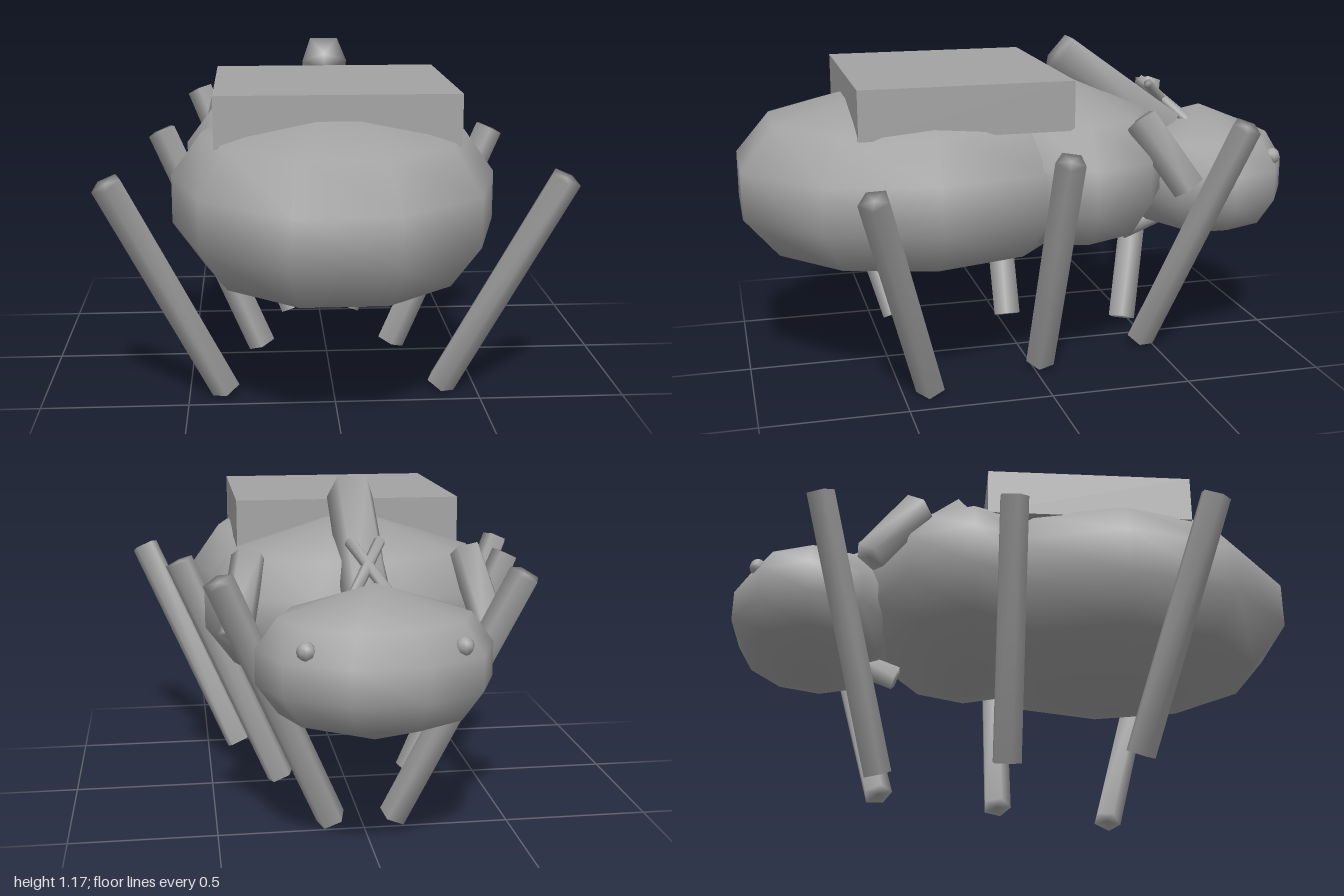
import * as THREE from 'three';
import { mergeVertices } from 'three/addons/utils/BufferGeometryUtils.js';

const grey = new THREE.MeshStandardMaterial({ color: 0xa3a3a3 });
grey.name = 'plain grey';

// Weld all corners so the shading runs smoothly over every edge
function smooth(geometry) {
  geometry.deleteAttribute('normal');
  geometry.deleteAttribute('uv');
  const welded = mergeVertices(geometry, 1e-4);
  welded.computeVertexNormals();
  return welded;
}

function add(group, name, geometry) {
  const mesh = new THREE.Mesh(geometry, grey);
  mesh.name = name;
  group.add(mesh);
  return mesh;
}

// Ten-sided body segment with shallow cone caps
function bodySegment(group, name, centre, radii) {
  const profile = [[0, -1], [0.81, -0.61], [1, -0.22], [1, 0.22], [0.81, 0.61], [0, 1]]
    .map(([r, y]) => new THREE.Vector2(r, y));
  const geometry = new THREE.LatheGeometry(profile, 10);
  geometry.rotateY(Math.PI / 2);
  geometry.scale(...radii);
  add(group, name, smooth(geometry)).position.set(...centre);
}

// Five-sided rod between two points
function rod(group, name, from, to, radius) {
  const a = new THREE.Vector3(...from);
  const b = new THREE.Vector3(...to);
  const axis = b.clone().sub(a);
  const geometry = smooth(new THREE.CylinderGeometry(radius, radius, axis.length(), 5));
  const mesh = add(group, name, geometry);
  mesh.position.copy(a).add(b).multiplyScalar(0.5);
  mesh.quaternion.setFromUnitVectors(new THREE.Vector3(0, 1, 0), axis.normalize());
}

export function createModel() {
  const model = new THREE.Group();
  model.name = 'insect';

  // Body
  bodySegment(model, 'abdomen', [0, 0.69, 0.38], [0.545, 0.373, 0.652]);
  bodySegment(model, 'thorax', [0, 0.71, -0.15], [0.515, 0.335, 0.378]);
  bodySegment(model, 'head', [0, 0.64, -0.71], [0.38, 0.255, 0.305]);

  // Slab carried on the back
  add(model, 'backPlate', new THREE.BoxGeometry(0.79, 0.17, 0.73)).position.set(0, 0.99, 0.265);

  // Horn over the neck and mouthpart under the head
  rod(model, 'horn', [0, 0.81, -0.57], [0, 1.11, -0.155], 0.085);
  rod(model, 'mouthpart', [0, 0.53, -0.68], [0, 0.425, -0.41], 0.045);

  for (const [side, s] of [['left', 1], ['right', -1]]) {
    // Legs
    rod(model, side + 'RearLeg', [s * 0.375, 0.02, 0.405], [s * 0.733, 0.8, 0.63], 0.053);
    rod(model, side + 'MiddleLeg', [s * 0.245, 0.025, -0.025], [s * 0.6, 0.85, -0.025], 0.053);
    rod(model, side + 'FrontLeg', [s * 0.11, 0.02, -0.46], [s * 0.485, 0.905, -0.685], 0.053);

    // Short shoulder stubs
    rod(model, side + 'ShoulderStub', [s * 0.425, 0.69, -0.505], [s * 0.37, 0.925, -0.345], 0.06);

    // Crossed feelers
    rod(model, side + 'Feeler', [s * 0.055, 0.85, -0.64], [s * -0.05, 0.99, -0.485], 0.02);

    // Eyes, barely proud of the head
    add(model, side + 'Eye', smooth(new THREE.SphereGeometry(0.03, 8, 6)))
      .position.set(s * 0.24, 0.735, -0.905);
  }
  return model;
}
